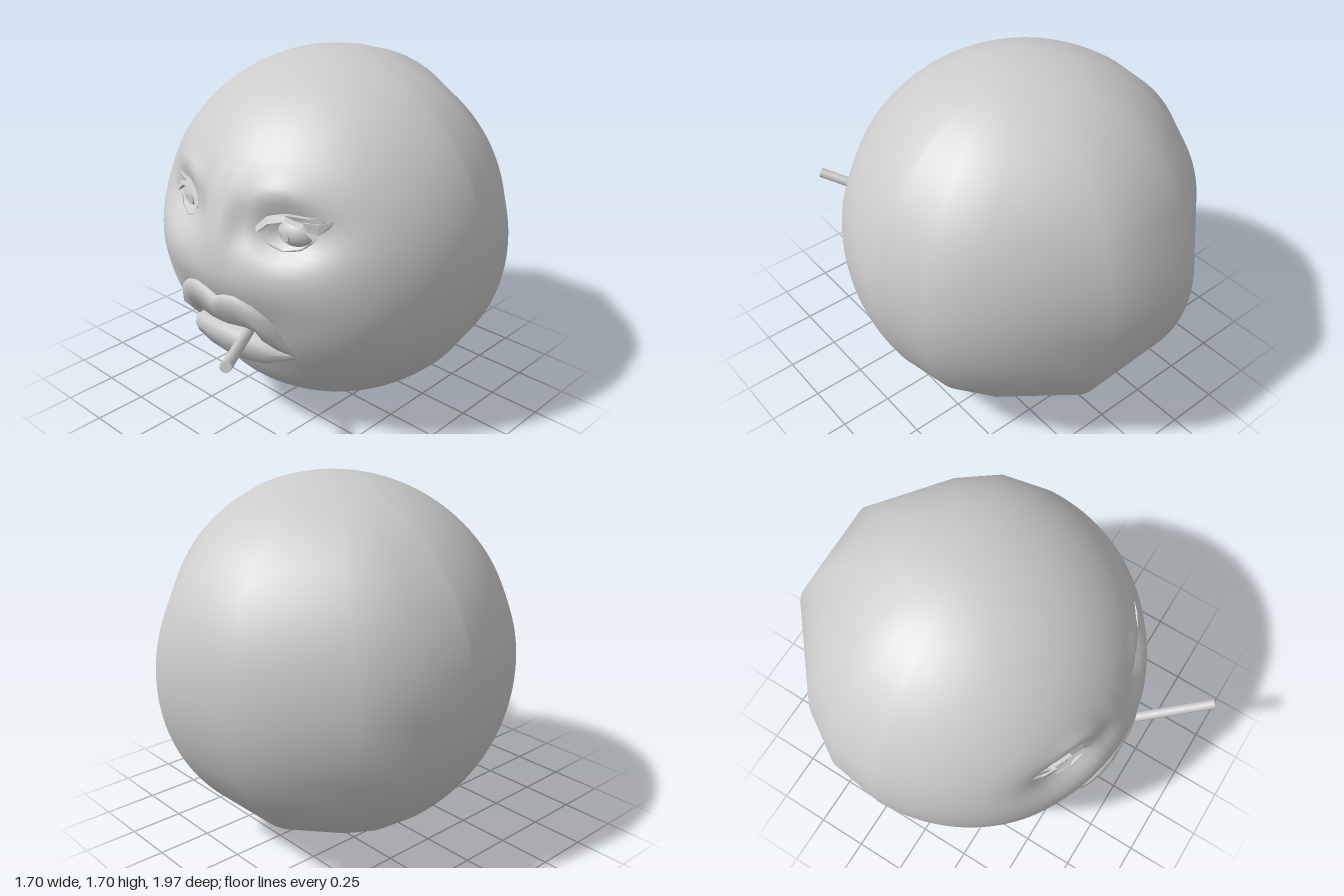
import * as THREE from 'three';

const R = 0.85, CY = 0.85, CZ = -0.15, MID = 0.02; // head sphere, face centre line
const skin = new THREE.MeshStandardMaterial({ color: 0xcccccc });
const thin = new THREE.MeshStandardMaterial({ color: 0xcccccc, side: THREE.DoubleSide });
const sharp = new THREE.MeshStandardMaterial({ color: 0xcccccc, side: THREE.DoubleSide, flatShading: true });

// Front surface of the undisturbed head
const headZ = (x, y) => CZ + Math.sqrt(Math.max(0, R * R - x * x - (y - CY) ** 2));
const bump = (a, b) => Math.exp(-(a * a + b * b));
const soft = (a, b) => Math.exp(-(a ** 4 + b ** 4));

// Surface through rows of points [x, y, z]
function grid(rows, closed = false) {
  const n = rows[0].length, index = [];
  for (let i = 0; i < rows.length - 1; i++) {
    for (let j = 0; j < (closed ? n : n - 1); j++) {
      const k = (j + 1) % n;
      const a = i * n + j, b = i * n + k, c = a + n, d = b + n;
      index.push(a, b, c, b, d, c);
    }
  }
  const g = new THREE.BufferGeometry();
  g.setAttribute('position', new THREE.Float32BufferAttribute(rows.flat(2), 3));
  g.setIndex(index);
  g.computeVertexNormals();
  return g;
}

function add(parent, name, geometry, material = skin) {
  const m = new THREE.Mesh(geometry, material);
  m.name = name;
  parent.add(m);
  return m;
}

// How far the face is pressed in at a point
function faceDepth(x, y) {
  const u = Math.abs(x - MID);
  let d = 0.105 * bump((u - 0.33) / 0.17, (y - 1.09) / 0.11);   // eye sockets
  d += 0.045 * soft(u / 0.43, (y - 0.53) / 0.25);               // muzzle
  d += 0.07 * soft(u / 0.24, (y - 0.58) / 0.09);                // mouth opening
  d -= 0.018 * bump((u - 0.28) / 0.13, (y - 1.26 + 0.3 * Math.abs(u - 0.28)) / 0.035); // brows
  d += 0.02 * bump((u - 0.12) / 0.05, (y - 1.1) / 0.14);        // sides of the nose bridge
  d += 0.012 * bump(u / 0.012, (y - 1.14) / 0.13);              // frown line
  return d;
}

function headGeometry() {
  // Coarse, flattened columns at the back, fine columns over the face
  const cols = [[16, R], [52, 0.815], [70, R]];
  for (let i = 0; i <= 90; i++) cols.push([88 + (181 * i) / 90, R]);
  cols.push([287, R], [305, 0.82], [341, R]);
  const rows = [], N = 84;
  for (let i = 0; i <= N; i++) {
    const phi = (Math.PI * i) / N;
    rows.push(cols.map(([deg, r]) => {
      const t = THREE.MathUtils.degToRad(deg);
      const x = r * Math.sin(t) * Math.sin(phi);
      const y = R * Math.cos(phi);
      const z = -r * Math.cos(t) * Math.sin(phi);
      const s = z > 0 ? 1 - faceDepth(x, y + CY) / R : 1;
      return [x * s, CY + y * s, CZ + z * s];
    }));
  }
  return grid(rows, true);
}

// Row of points lying over the face: each is [distance from centre line, height]
const onFace = (pts, lift, side = 1) => pts.map(([u, y]) => {
  const x = MID + side * u;
  return [x, y, headZ(x, y) + lift];
});

// Lip from half outlines, mirrored and lofted outline to outline
function lip(outlines, lifts) {
  return grid(outlines.map((half, i) => {
    const full = [...half.map(([u, y]) => [-u, y]), ...half.slice(0, -1).reverse()];
    return onFace(full, 0).map(([x, y, z], k) => {
      const end = k === 0 || k === full.length - 1;
      return [x, y, z + (end ? Math.min(lifts[i], -0.035) : lifts[i])];
    });
  }));
}

function eye(side) {
  const g = new THREE.Group();
  g.name = side > 0 ? 'leftEye' : 'rightEye';
  const cx = MID + side * 0.307;
  const ball = add(g, 'eyeball', new THREE.SphereGeometry(0.1, 24, 16));
  ball.position.set(cx, 1.08, 0.435);
  ball.scale.set(1.08, 0.8, 1);
  const pupil = add(g, 'pupil', new THREE.CylinderGeometry(0.021, 0.021, 0.012, 16));
  pupil.rotation.x = Math.PI / 2;
  pupil.position.set(cx, 1.07, 0.532);

  // Lids
  const upperTop = [[0.18, 1.1], [0.22, 1.15], [0.3, 1.17], [0.38, 1.15], [0.44, 1.1]];
  const upperEdge = [[0.19, 1.075], [0.235, 1.12], [0.3, 1.138], [0.37, 1.12], [0.425, 1.075]];
  add(g, 'upperLid', grid([
    onFace(upperTop, -0.1, side), onFace(upperTop, -0.055, side),
    onFace(upperEdge, -0.05, side), onFace(upperEdge, -0.11, side),
  ]), sharp);
  const lowerEdge = [[0.19, 1.075], [0.23, 1.03], [0.3, 1.008], [0.37, 1.025], [0.425, 1.075]];
  const lowerRim = [[0.18, 1.07], [0.225, 1.015], [0.3, 0.99], [0.375, 1.01], [0.435, 1.07]];
  add(g, 'lowerLid', grid([
    onFace(lowerEdge, -0.1, side), onFace(lowerEdge, -0.075, side), onFace(lowerRim, -0.085, side),
  ]), sharp);

  // Winged lashes
  const lashes = [
    [[[0.3, 1.17], [0.4, 1.165], [0.47, 1.19], [0.54, 1.26]], [[0.34, 1.15], [0.43, 1.13], [0.5, 1.175], [0.54, 1.26]]],
    [[[0.38, 1.15], [0.44, 1.145], [0.49, 1.165], [0.55, 1.2]], [[0.4, 1.11], [0.44, 1.1], [0.48, 1.135], [0.55, 1.2]]],
  ];
  for (const [top, low] of lashes) {
    add(g, 'lash', grid([onFace(top, -0.06, side), onFace(top, -0.03, side), onFace(low, -0.045, side)]), sharp);
  }
  return g;
}

export function createModel() {
  const model = new THREE.Group();
  model.name = 'face';
  add(model, 'head', headGeometry());
  model.add(eye(1), eye(-1));

  // Lips, from outer skin edge over the ridge to the inside of the mouth
  const mouth = new THREE.Group();
  mouth.name = 'mouth';
  model.add(mouth);
  const upOuter = [[0.33, 0.48], [0.29, 0.6], [0.26, 0.69], [0.2, 0.745], [0.12, 0.775], [0.06, 0.765], [0, 0.735]];
  const upRidge = [[0.315, 0.485], [0.265, 0.6], [0.235, 0.665], [0.18, 0.71], [0.12, 0.73], [0.06, 0.72], [0, 0.695]];
  const upInner = [[0.26, 0.5], [0.225, 0.57], [0.205, 0.615], [0.16, 0.625], [0.11, 0.62], [0.05, 0.61], [0, 0.61]];
  add(mouth, 'upperLip', lip([upOuter, upOuter, upRidge, upInner, upInner], [-0.08, -0.005, 0.015, -0.01, -0.12]), thin);
  const lowInner = [[0.3, 0.485], [0.22, 0.53], [0.12, 0.55], [0, 0.56]];
  const lowRidge = [[0.32, 0.478], [0.22, 0.49], [0.12, 0.498], [0, 0.5]];
  const lowOuter = [[0.33, 0.47], [0.22, 0.44], [0.12, 0.422], [0, 0.418]];
  add(mouth, 'lowerLip', lip([lowInner, lowInner, lowRidge, lowOuter, lowOuter], [-0.12, -0.01, 0.02, 0.025, -0.08]), thin);

  // Thin stick held between the lips
  const from = new THREE.Vector3(0.1, 0.548, 0.54), to = new THREE.Vector3(0.442, 0.695, 0.985);
  const dir = to.clone().sub(from);
  const stick = add(model, 'stick', new THREE.CylinderGeometry(0.025, 0.025, dir.length(), 14));
  stick.position.copy(from).add(to).multiplyScalar(0.5);
  stick.quaternion.setFromUnitVectors(new THREE.Vector3(0, 1, 0), dir.normalize());
  return model;
}
